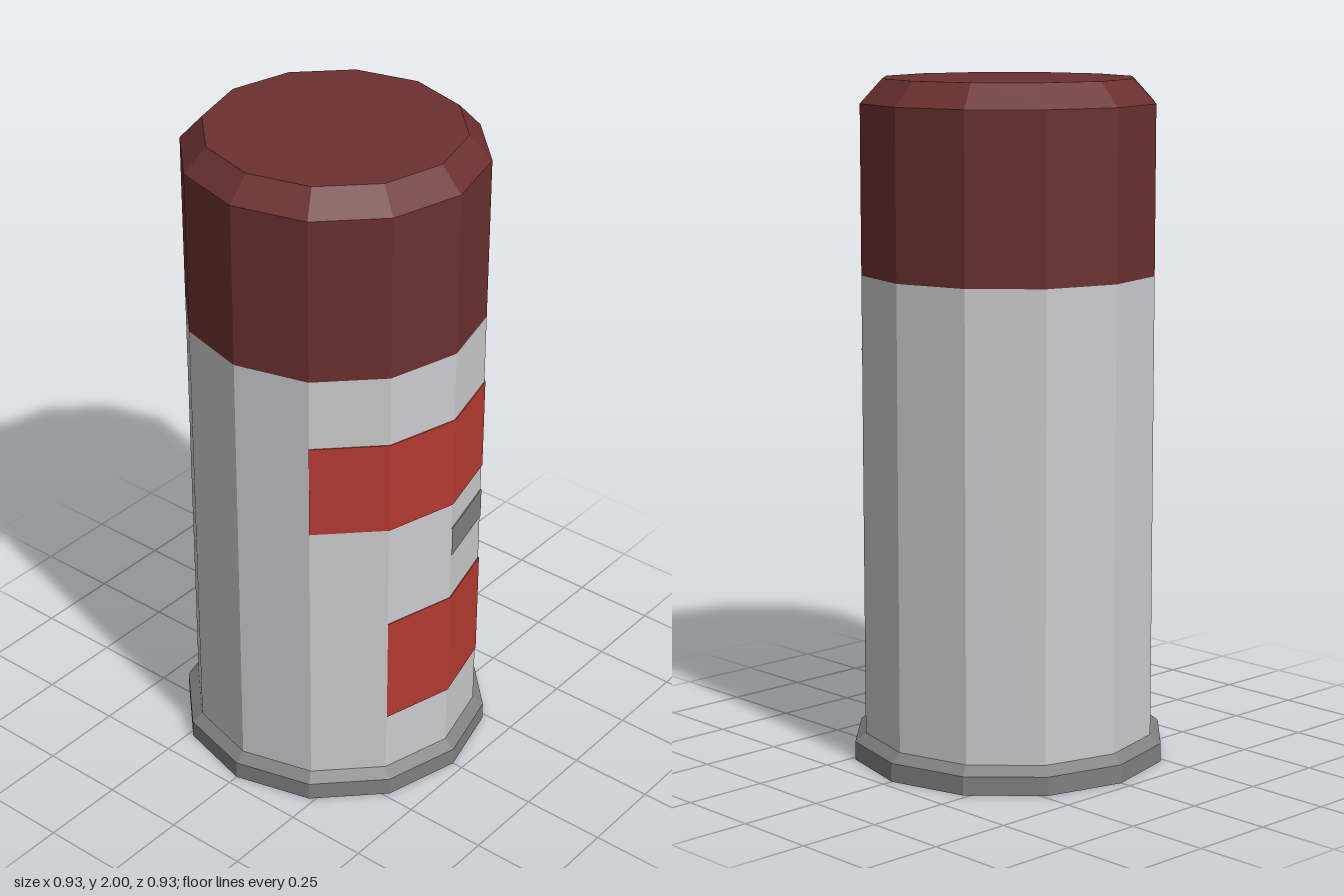
import * as THREE from 'three';

const SIDES = 12;
const R = 0.435;

function paint(name, color) {
  const m = new THREE.MeshStandardMaterial({ color, flatShading: true });
  m.name = name;
  return m;
}

// Faceted turned part; the profile runs from the bottom to the top, [radius, y]
function turned(name, profile, material, fromSide = 0, sides = SIDES) {
  const step = (Math.PI * 2) / SIDES;
  const geometry = new THREE.LatheGeometry(
    profile.map(([r, y]) => new THREE.Vector2(r, y)), sides, fromSide * step, sides * step);
  const mesh = new THREE.Mesh(geometry, material);
  mesh.name = name;
  return mesh;
}

export function createModel() {
  const bodyGrey = paint('light grey', 0xcbcacc);
  const baseGrey = paint('mid grey', 0x808080);
  const capRed = paint('dark red', 0x6b3030);
  const labelRed = paint('bright red', 0xb43a31);

  const model = new THREE.Group();
  model.name = 'canister';

  // Base rim with a hollow underside
  model.add(turned('base', [
    [0, 0.08], [0.22, 0.08], [0.35, 0], [0.467, 0], [0.467, 0.055], [R, 0.08],
  ], baseGrey));

  // Straight body and bevelled cap
  model.add(turned('body', [[R, 0.08], [R, 1.44]], bodyGrey));
  model.add(turned('cap', [[R, 1.44], [R, 1.93], [0.37, 2], [0, 2]], capRed));

  // Painted panels on the +x side, each wrapping whole facets
  const panels = [
    ['upperLabel', 0.94, 1.225, 1, 4, labelRed],
    ['smallLabel', 0.76, 0.855, 3, 1, baseGrey],
    ['lowerLabel', 0.27, 0.61, 2, 2, labelRed],
  ];
  for (const [name, y0, y1, from, count, material] of panels) {
    const r = R + 0.003;
    model.add(turned(name, [[R, y0], [r, y0], [r, y1], [R, y1]], material, from, count));
  }
  return model;
}
